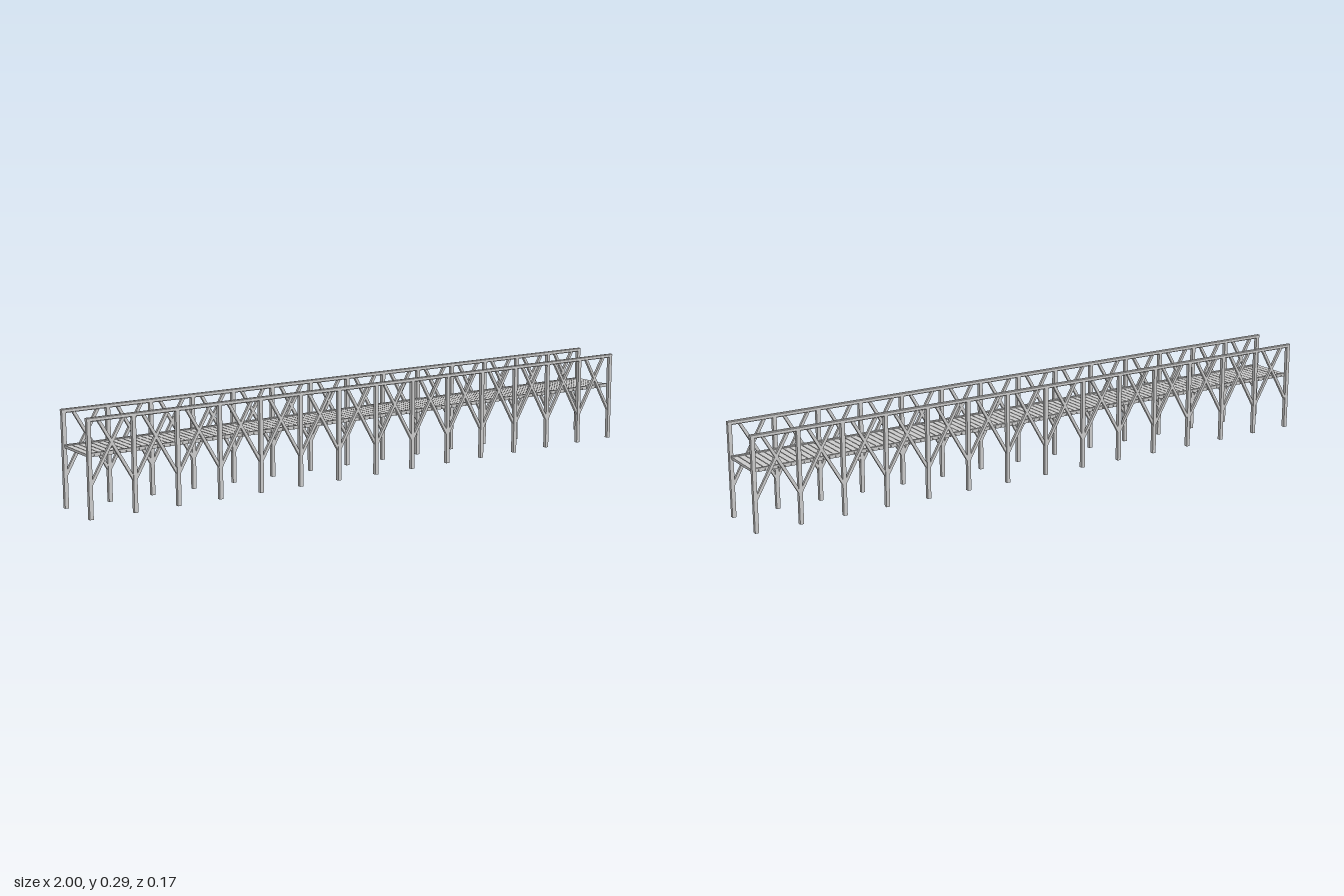
import * as THREE from 'three';

const BAYS = 14, HALF = 0.993, BAY = (2 * HALF) / BAYS;
const SIDE_Z = 0.081, W = 0.012, TOP = 0.295;

export function createModel() {
  const model = new THREE.Group();
  const material = new THREE.MeshStandardMaterial({ color: 0xcccccc, flatShading: true });

  const add = (parent, name, geometry, x, y, z, tilt = 0) => {
    const mesh = new THREE.Mesh(geometry, material);
    mesh.name = name;
    mesh.position.set(x, y, z);
    mesh.rotation.z = tilt;
    parent.add(mesh);
    return mesh;
  };

  // Handrail: square bar with chamfered edges, running along x
  const h = W / 2, c = 0.002;
  const section = new THREE.Shape([
    [-h + c, -h], [h - c, -h], [h, -h + c], [h, h - c],
    [h - c, h], [-h + c, h], [-h, h - c], [-h, -h + c],
  ].map(([x, y]) => new THREE.Vector2(x, y)));
  const railGeometry = new THREE.ExtrudeGeometry(section, { depth: 2, bevelEnabled: false });
  railGeometry.translate(0, 0, -1).rotateY(Math.PI / 2);

  // Braces rise from low on one post to the rail just short of the next
  const braceLow = 0.095, braceHigh = 0.287, run = 0.111;
  const rise = braceHigh - braceLow;
  const angle = Math.atan2(rise, run);
  const postGeometry = new THREE.BoxGeometry(W, TOP - 0.008, W);
  const braceGeometry = new THREE.BoxGeometry(Math.hypot(run, rise), 0.009, 0.009);

  // Two mirrored side trusses
  for (const side of [1, -1]) {
    const truss = new THREE.Group();
    truss.name = side > 0 ? 'frontTruss' : 'backTruss';
    model.add(truss);
    const z = side * SIDE_Z;
    add(truss, 'handrail', railGeometry, 0, TOP - h, z);
    add(truss, 'deckEdgeStrip', new THREE.BoxGeometry(1.99, 0.004, 0.009), 0, 0.189, side * 0.0725);

    for (let i = 0; i <= BAYS; i++) {
      const x = -HALF + i * BAY;
      add(truss, 'post', postGeometry, x, (TOP - 0.008) / 2, z);
      if (i === BAYS) continue;
      const y = (braceLow + braceHigh) / 2;
      add(truss, 'risingBrace', braceGeometry, x + run / 2, y, z, angle);
      add(truss, 'fallingBrace', braceGeometry, x + BAY - run / 2, y, z, -angle);
    }
  }

  // Deck of crosswise planks with narrow gaps
  const deck = new THREE.Group();
  deck.name = 'deck';
  model.add(deck);
  const planks = BAYS * 7, pitch = 1.99 / planks;
  const plankGeometry = new THREE.BoxGeometry(pitch - 0.002, 0.008, 0.154);
  for (let i = 0; i < planks; i++) {
    add(deck, 'plank', plankGeometry, -0.995 + (i + 0.5) * pitch, 0.184, 0);
  }

  return model;
}
